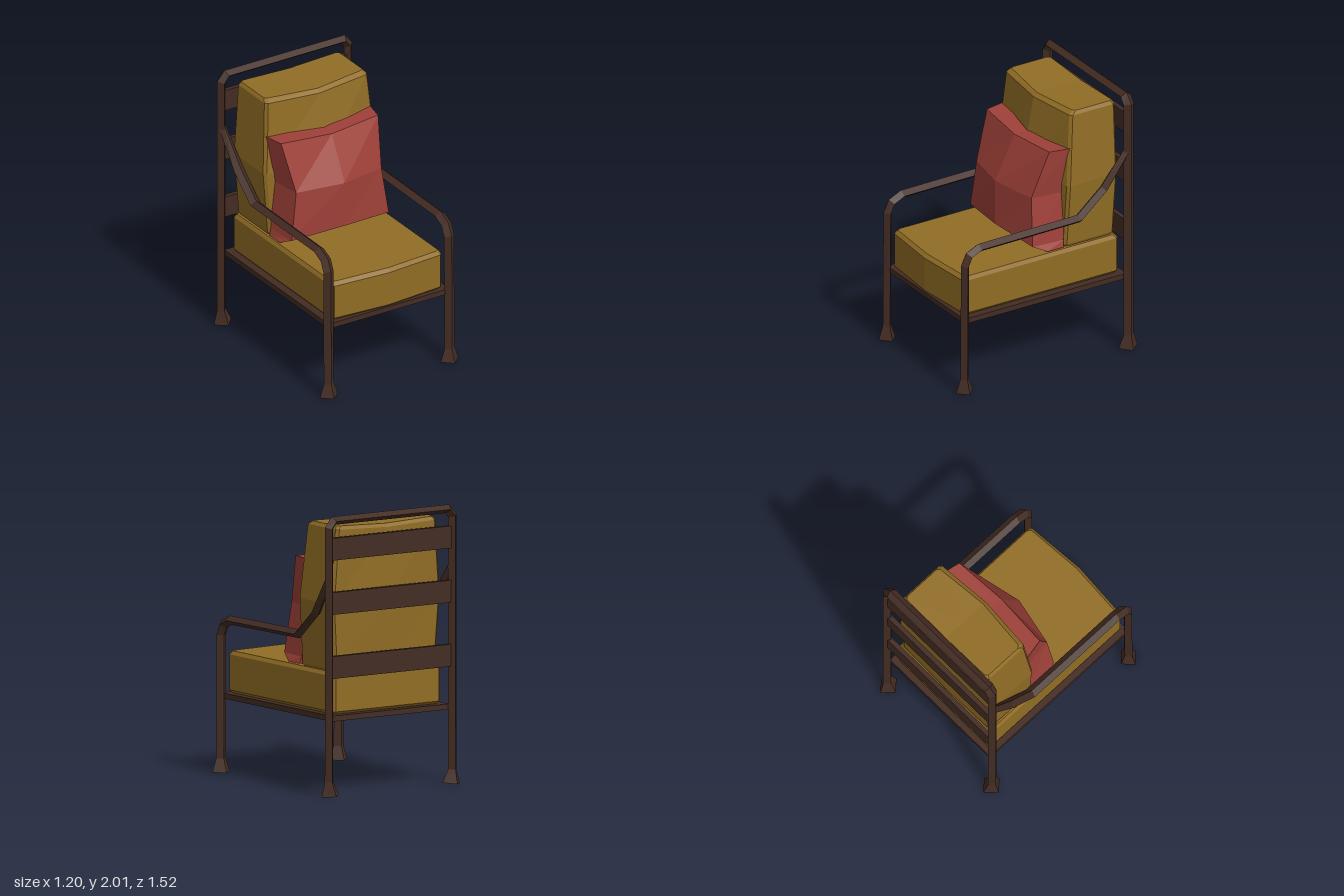
import * as THREE from 'three';

const material = (color) => new THREE.MeshStandardMaterial({ color, flatShading: true });
const WOOD = material(0x432c23);
const FABRIC = material(0x916d25);
const RED = material(0x9e4038);

// Skin a series of closed rings (arrays of Vector3) and cap both ends
function loft(rings) {
  const pos = [];
  const tri = (...pts) => pts.forEach((p) => pos.push(p.x, p.y, p.z));
  const n = rings[0].length;
  const mid = (r) => r[0].clone().add(r[n / 2]).multiplyScalar(0.5);
  const last = rings[rings.length - 1];
  for (let i = 0; i < n; i++) {
    const j = (i + 1) % n;
    for (let k = 0; k < rings.length - 1; k++) {
      const a = rings[k], b = rings[k + 1];
      tri(a[i], a[j], b[j]);
      tri(a[i], b[j], b[i]);
    }
    tri(mid(rings[0]), rings[0][j], rings[0][i]);
    tri(mid(last), last[i], last[j]);
  }
  const g = new THREE.BufferGeometry();
  g.setAttribute('position', new THREE.Float32BufferAttribute(pos, 3));
  g.computeVertexNormals();
  return g;
}

// Diamond-section rail along a path of [x, y, z, half width, half thickness]
function rail(path, b) {
  const pts = path.map((p) => new THREE.Vector3(p[0], p[1], p[2]));
  const dir = (i) => pts[i + 1].clone().sub(pts[i]).normalize();
  return loft(path.map(([, , , w, h], i) => {
    const before = dir(Math.max(i - 1, 0));
    const after = dir(Math.min(i, pts.length - 2));
    const t = before.clone().add(after).normalize();
    const n = b.clone().cross(t).normalize().multiplyScalar(h / t.dot(after));
    const s = b.clone().multiplyScalar(w);
    return [n, s, n.clone().negate(), s.clone().negate()].map((v) => v.add(pts[i]));
  }));
}

// Full ring from its +x half, listed from front centre to back centre
function mirrorRing(half) {
  const right = half.map((p) => new THREE.Vector3(...p));
  const left = right.slice(1, -1).reverse().map((p) => new THREE.Vector3(-p.x, p.y, p.z));
  return [...right, ...left];
}

// Chamfered cushion outline that swells at the middle of its front and back
function cushionRing({ y, hx, zf, zb, front = 0, back = 0, dip = 0, c = 0.02 }) {
  return mirrorRing([
    [0, y - dip, zf + front], [hx - c, y, zf], [hx, y, zf - c],
    [hx, y, zb + c], [hx - c, y, zb], [0, y - dip, zb - back],
  ]);
}

export function createModel() {
  const chair = new THREE.Group();
  chair.name = 'armchair';
  const add = (name, geometry, mat) => {
    const mesh = new THREE.Mesh(geometry, mat);
    mesh.name = name;
    chair.add(mesh);
    return mesh;
  };

  // Back frame: both rear legs, flared feet and the top rail in one sweep
  const zBack = -0.68;
  const post = [
    [0.525, 0, zBack, 0.08, 0.075], [0.535, 0.1, zBack, 0.042, 0.036],
    [0.535, 1.92, zBack, 0.042, 0.035], [0.495, 1.973, zBack, 0.042, 0.03],
  ];
  const otherPost = post.map(([x, ...rest]) => [-x, ...rest]).reverse();
  add('backFrame', rail([...post, ...otherPost], new THREE.Vector3(0, 0, 1)), WOOD);

  // Front legs that bend into the armrests and rise to the back frame
  const arm = [
    [0, 0.69, 0.075, 0.07], [0.1, 0.69, 0.042, 0.035], [0.99, 0.685, 0.042, 0.034],
    [1.065, 0.65, 0.042, 0.033], [1.105, 0.565, 0.042, 0.032], [1.112, -0.275, 0.042, 0.032],
    [1.29, -0.485, 0.042, 0.032], [1.57, -0.68, 0.03, 0.03],
  ];
  for (const side of [1, -1]) {
    const path = arm.map(([y, z, w, h], i) => [side * (i === arm.length - 1 ? 0.53 : 0.51), y, z, w, h]);
    add(side > 0 ? 'leftArm' : 'rightArm', rail(path, new THREE.Vector3(1, 0, 0)), WOOD);
  }

  // Back slats
  for (const y of [0.92, 1.38, 1.77]) {
    add('backSlat', new THREE.BoxGeometry(1.06, 0.16, 0.035), WOOD).position.set(0, y, zBack);
  }

  // Seat board
  add('seatBoard', new THREE.BoxGeometry(1.02, 0.04, 1.37), WOOD).position.set(0, 0.55, 0.005);

  // Seat cushion
  const seatInset = { hx: 0.45, zf: 0.645, zb: -0.62, front: 0.03 };
  const seatFull = { hx: 0.467, zf: 0.667, zb: -0.64, front: 0.033 };
  add('seatCushion', loft([
    { y: 0.57, ...seatInset }, { y: 0.59, ...seatFull },
    { y: 0.845, ...seatFull }, { y: 0.872, ...seatInset },
  ].map(cushionRing)), FABRIC);

  // Back cushion
  add('backCushion', loft([
    { y: 0.87, hx: 0.43, zf: -0.21, zb: -0.61, front: 0.05 },
    { y: 0.89, hx: 0.44, zf: -0.2, zb: -0.62, front: 0.05, back: 0.01 },
    { y: 1.36, hx: 0.472, zf: -0.21, zb: -0.63, front: 0.09, back: 0.02 },
    { y: 1.895, hx: 0.432, zf: -0.255, zb: -0.635, front: 0.035, dip: 0.015 },
    { y: 1.92, hx: 0.415, zf: -0.29, zb: -0.62, front: 0.04, dip: 0.015 },
  ].map(cushionRing)), FABRIC);

  // Loose pillow leaning on the back cushion
  add('pillow', loft([
    [[0, 0.885, -0.04], [0.445, 0.88, -0.055], [0.445, 0.88, -0.19], [0, 0.885, -0.17]],
    [[0, 0.96, 0.105], [0.41, 0.93, 0.05], [0.43, 0.93, -0.195], [0, 0.95, -0.185]],
    [[0, 1.3, 0.105], [0.36, 1.29, 0.03], [0.395, 1.29, -0.225], [0, 1.3, -0.2]],
    [[0, 1.625, -0.06], [0.41, 1.645, -0.09], [0.443, 1.645, -0.255], [0, 1.63, -0.165]],
  ].map(mirrorRing)), RED);

  return chair;
}
